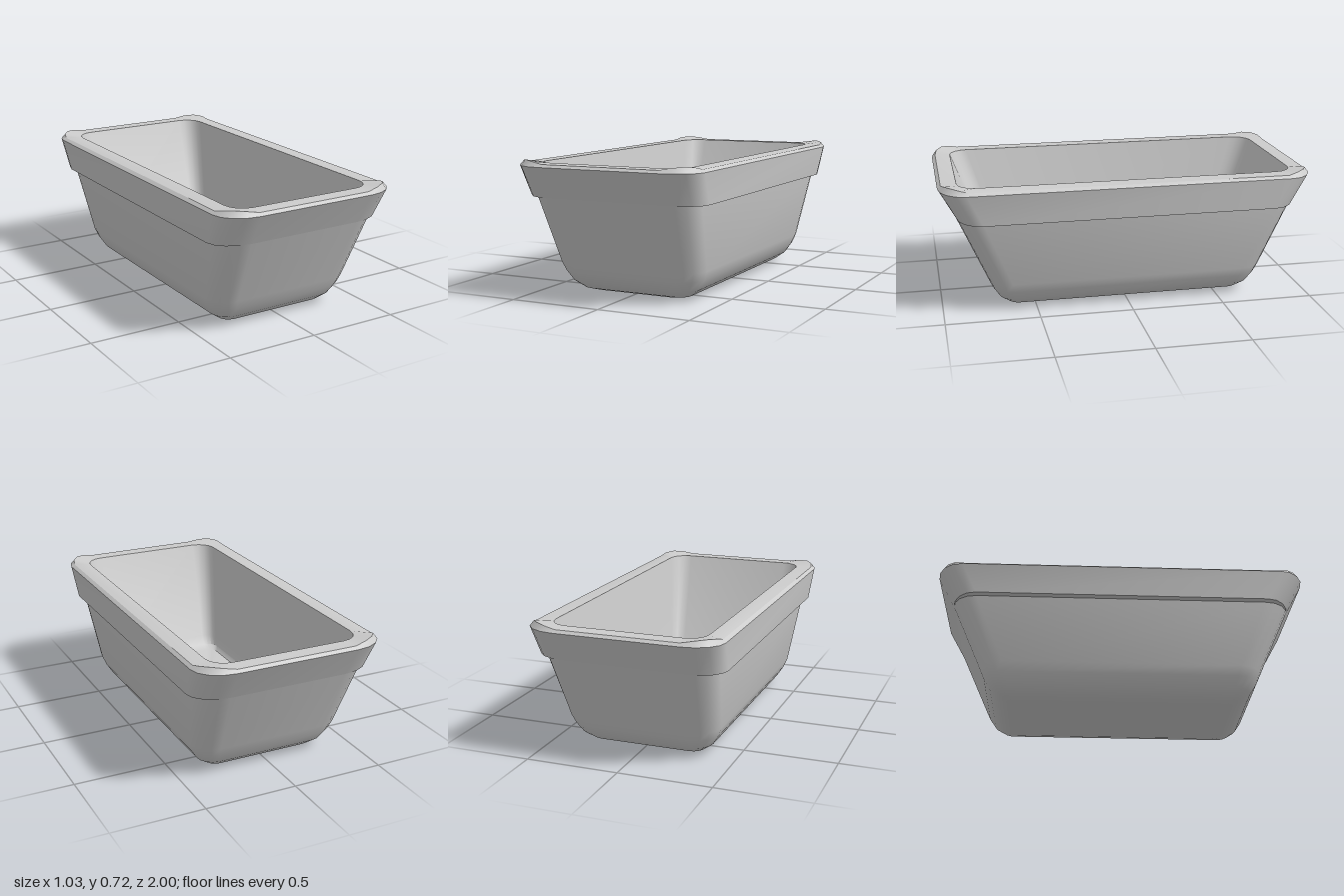
import * as THREE from 'three';
import { toCreasedNormals } from 'three/addons/utils/BufferGeometryUtils.js';

const SEG = 4; // facets per rounded corner

// Rounded rectangle of half-size hx by hz at height y; corners may rise a little
function ring([hx, hz, y, rx, rz = rx, rise = 0]) {
  const pts = [];
  for (let q = 0; q < 4; q++) {
    const sx = q === 0 || q === 3 ? 1 : -1;
    const sz = q < 2 ? 1 : -1;
    for (let k = 0; k <= SEG; k++) {
      const a = (q + k / SEG) * Math.PI / 2;
      pts.push([
        sx * (hx - rx) + rx * Math.cos(a),
        y + rise * Math.sin(k / SEG * Math.PI),
        sz * (hz - rz) + rz * Math.sin(a),
      ]);
    }
  }
  return pts;
}

// Skin a stack of rings, optionally closing the first or last with a flat cap
function loft(name, material, sections, { capStart = false, capEnd = false } = {}) {
  const rings = sections.map(ring);
  const n = rings[0].length;
  const pos = rings.flat(2);
  const index = [];
  for (let r = 0; r < rings.length - 1; r++) {
    for (let i = 0; i < n; i++) {
      const a = r * n + i, b = r * n + (i + 1) % n;
      index.push(a, a + n, b, b, a + n, b + n);
    }
  }
  const cap = (r, flip) => {
    const c = pos.length / 3;
    pos.push(0, sections[r][2], 0);
    for (let i = 0; i < n; i++) {
      const a = r * n + i, b = r * n + (i + 1) % n;
      if (flip) index.push(c, a, b);
      else index.push(c, b, a);
    }
  };
  if (capStart) cap(0, true);
  if (capEnd) cap(rings.length - 1, false);
  const geo = new THREE.BufferGeometry();
  geo.setAttribute('position', new THREE.Float32BufferAttribute(pos, 3));
  geo.setIndex(index);
  const mesh = new THREE.Mesh(toCreasedNormals(geo, 0.6), material);
  mesh.name = name;
  return mesh;
}

export function createModel() {
  const group = new THREE.Group();
  group.name = 'tub';
  const mat = new THREE.MeshStandardMaterial({ color: 0xcccccc, side: THREE.DoubleSide });

  const neck = [0.463, 0.91, 0.52, 0.14, 0.13];    // body where it meets the ledge
  const ledge = [0.502, 0.91, 0.52, 0.179, 0.13];  // ledge edge, wider on the long sides only
  const rimEdge = [0.515, 1.0, 0.685, 0.18, 0.14];
  const mouth = [0.412, 0.9, 0.7, 0.1];

  // Tapered body with a rounded base
  group.add(loft('body', mat, [
    [0.25, 0.6, 0, 0.04],
    [0.31, 0.645, 0.015, 0.06],
    [0.365, 0.695, 0.055, 0.09],
    [0.4, 0.73, 0.11, 0.11],
    [0.42, 0.752, 0.16, 0.12],
    neck,
  ], { capStart: true }));

  // Ledge under each long side, fading out around the corners
  group.add(loft('sideLedge', mat, [neck, ledge]));

  // Flared collar above the ledge
  group.add(loft('collar', mat, [ledge, rimEdge]));

  // Rim with slightly raised corners
  group.add(loft('rim', mat, [
    rimEdge,
    [0.497, 0.982, 0.699, 0.17, 0.135, 0.017],
    mouth,
  ]));

  // Inner walls and floor
  group.add(loft('basin', mat, [
    mouth,
    [0.345, 0.69, 0.16, 0.065],
    [0.338, 0.655, 0.11, 0.06],
    [0.32, 0.61, 0.09, 0.05],
  ], { capEnd: true }));

  return group;
}
